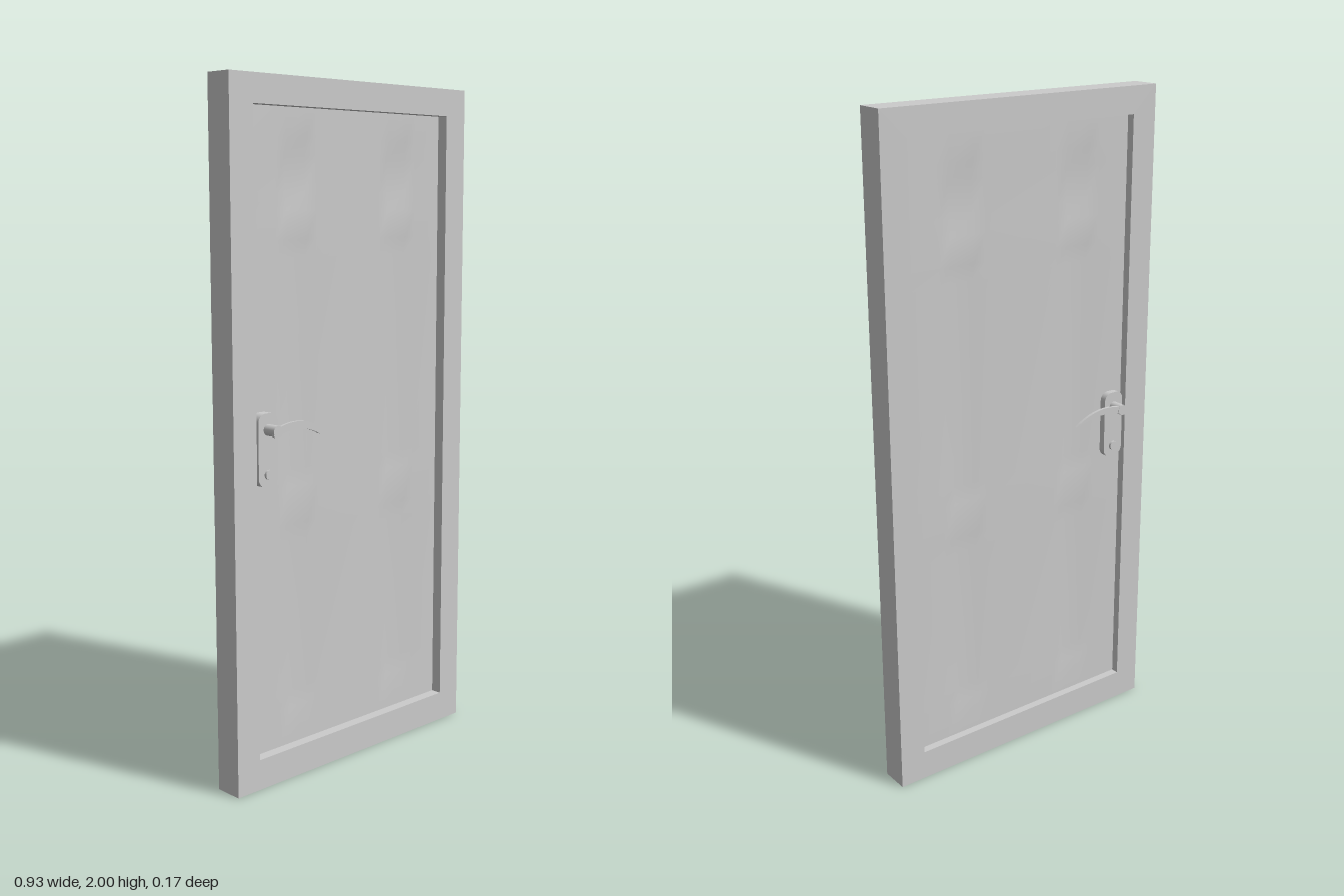
import * as THREE from 'three';

const material = new THREE.MeshStandardMaterial({ color: 0xcccccc });

function addMesh(parent, name, geometry, x = 0, y = 0, z = 0) {
  const mesh = new THREE.Mesh(geometry, material);
  mesh.name = name;
  mesh.position.set(x, y, z);
  parent.add(mesh);
  return mesh;
}

function extrude(shape, depth) {
  return new THREE.ExtrudeGeometry(shape, { depth, bevelEnabled: false, curveSegments: 16 });
}

// Rectangle traced corner to corner, used for the frame and its opening
function rectangle(x, y0, y1) {
  return [[-x, y0], [x, y0], [x, y1], [-x, y1]].map(p => new THREE.Vector2(...p));
}

// One door face: a grid stretched to the panel edges, with panel centres sunk
function panelledFace() {
  const xs = [-0.385, -0.28, -0.24, -0.165, -0.125, 0.125, 0.165, 0.24, 0.28, 0.385];
  const ys = [0.09, 0.2, 0.25, 0.7, 0.75, 0.86, 0.91, 1.51, 1.56, 1.64, 1.69, 1.79, 1.84, 1.92];
  const geometry = new THREE.PlaneGeometry(1, 1, xs.length - 1, ys.length - 1);
  const position = geometry.attributes.position;
  for (let i = 0; i < position.count; i++) {
    const ix = i % xs.length;
    const iy = ys.length - 1 - Math.floor(i / xs.length);
    const sunk = ix % 4 >= 2 && iy % 4 >= 2;
    position.setXYZ(i, xs[ix], ys[iy], sunk ? -0.007 : 0);
  }
  geometry.computeVertexNormals();
  return geometry;
}

// Back plate with well rounded corners
function plateShape(w, h, r) {
  const s = new THREE.Shape();
  s.absarc(w - r, h - r, r, 0, Math.PI / 2);
  s.absarc(r - w, h - r, r, Math.PI / 2, Math.PI);
  s.absarc(r - w, r - h, r, Math.PI, Math.PI * 1.5);
  s.absarc(w - r, r - h, r, Math.PI * 1.5, Math.PI * 2);
  return s;
}

// Arched lever; the tip is blunt or drawn out to a point
function leverShape(pointed) {
  const s = new THREE.Shape();
  const tip = pointed ? 0.18 : 0.157;
  s.moveTo(-0.012, -0.014);
  s.bezierCurveTo(0.04, 0.01, 0.1, 0.012, tip, pointed ? -0.012 : -0.02);
  if (!pointed) s.lineTo(tip, -0.003);
  s.bezierCurveTo(0.11, 0.032, 0.05, 0.03, -0.002, 0.012);
  s.quadraticCurveTo(-0.02, 0.004, -0.012, -0.014);
  return s;
}

// Handle set; side is +1 for the front and -1 for the back
function addHandle(parent, side, faceZ) {
  const handle = new THREE.Group();
  handle.name = side > 0 ? 'frontHandle' : 'backHandle';
  handle.position.x = -0.341;
  parent.add(handle);

  // Depths run outward from the door face
  const slab = (name, shape, y, from, to) =>
    addMesh(handle, name, extrude(shape, to - from), 0, y, side > 0 ? from : -to);
  const rod = (name, radius, y, from, to) =>
    addMesh(handle, name, new THREE.CylinderGeometry(radius, radius, to - from, 24).rotateX(Math.PI / 2),
      0, y, side * (from + to) / 2);

  slab('handlePlate', plateShape(0.035, 0.104, 0.026), 0.984, faceZ, 0.04);
  rod('handleSpindle', 0.016, 1.042, 0.036, 0.083);
  slab('handleLever', leverShape(side < 0), 1.038, 0.073, 0.082);
  rod('lockCylinder', 0.014, 0.915, 0.036, 0.047);
}

export function createModel() {
  const door = new THREE.Group();
  door.name = 'door';

  // Surrounding frame with its opening
  const frame = new THREE.Shape(rectangle(0.467, 0, 2));
  frame.holes.push(new THREE.Path(rectangle(0.385, 0.09, 1.92).reverse()));
  addMesh(door, 'frame', extrude(frame, 0.087), 0, 0, -0.044);

  // Door leaf, panelled on both sides and set back in the frame
  const frontZ = 0.01, backZ = -0.02;
  addMesh(door, 'leafFront', panelledFace(), 0, 0, frontZ);
  addMesh(door, 'leafBack', panelledFace().rotateY(Math.PI), 0, 0, backZ);

  addHandle(door, 1, frontZ);
  addHandle(door, -1, -backZ);
  return door;
}
